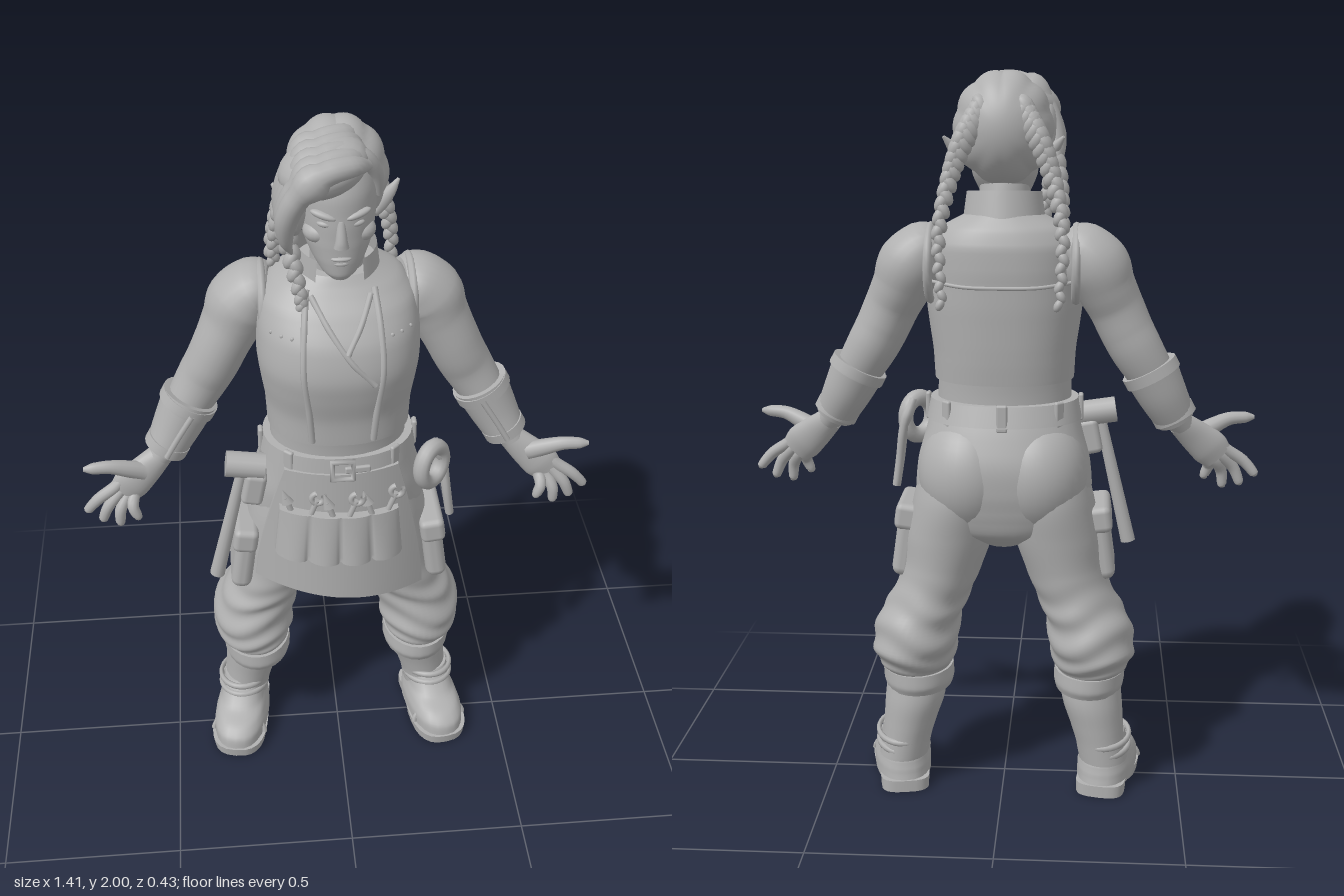
import * as THREE from 'three';
import { RoundedBoxGeometry } from 'three/addons/geometries/RoundedBoxGeometry.js';

const clay = new THREE.MeshStandardMaterial({ color: 0xb0b0b0, side: THREE.DoubleSide });
clay.name = 'grey clay';
const V = (x, y, z) => new THREE.Vector3(x, y, z);

// Skin over cross-sections [x, y, z, radiusAcross, radiusDeep]; flat keeps the rings level (sections go upwards).
function loft(pts, { flat = false, sides = 24, steps = 5, power = 2, ripple = () => 1 } = {}) {
  const path = new THREE.CatmullRomCurve3(pts.map(p => V(p[0], p[1], p[2])));
  const size = new THREE.CatmullRomCurve3(pts.map(p => V(p[3], p[4], 0)));
  const n = (pts.length - 1) * steps, rings = [];
  for (let i = 0; i <= n; i++) {
    const k = i / n, c = path.getPoint(k), r = size.getPoint(k);
    const t = flat ? V(0, 1, 0) : path.getTangent(k);
    const u = V(0, 0, 1).cross(t).normalize();
    rings.push({ c, u, v: t.clone().cross(u), a: r.x, b: r.y, k });
  }
  const first = rings[0], last = rings[n];
  rings.unshift({ ...first, a: 0, b: 0 }, first);
  rings.push(last, { ...last, a: 0, b: 0 });
  const pos = [], idx = [], sp = x => Math.sign(x) * Math.abs(x) ** (2 / power);
  rings.forEach((g, i) => {
    for (let j = 0; j < sides; j++) {
      const w = j / sides * Math.PI * 2, m = ripple(g.k, w);
      const p = g.c.clone().addScaledVector(g.u, sp(Math.cos(w)) * g.a * m).addScaledVector(g.v, sp(Math.sin(w)) * g.b * m);
      pos.push(p.x, p.y, p.z);
      if (i === rings.length - 1 || i === 1 || i === rings.length - 3) continue; // crisp cap edges
      const q = (j + 1) % sides, A = i * sides + j, B = i * sides + q;
      idx.push(A, B, B + sides, A, B + sides, A + sides);
    }
  });
  const geo = new THREE.BufferGeometry();
  geo.setAttribute('position', new THREE.Float32BufferAttribute(pos, 3));
  geo.setIndex(idx);
  geo.computeVertexNormals();
  return geo;
}

// Moves every vertex by a rule.
function warp(geo, rule) {
  const p = geo.attributes.position, v = V(0, 0, 0);
  for (let i = 0; i < p.count; i++) { v.fromBufferAttribute(p, i); rule(v); p.setXYZ(i, v.x, v.y, v.z); }
  geo.computeVertexNormals();
  return geo;
}

// Level body sections written as [y, zBack, zFront, halfWidth].
const body = rows => rows.map(([y, b, f, w]) => [0, y, (b + f) / 2, w, (f - b) / 2]);

export function createModel() {
  const model = new THREE.Group();
  const add = (name, geo, pos = [0, 0, 0], rot = [0, 0, 0], scale = [1, 1, 1], parent = model) => {
    const m = new THREE.Mesh(geo, clay);
    m.name = name;
    m.position.set(...pos); m.rotation.set(...rot); m.scale.set(...scale);
    parent.add(m);
  };
  const ball = (name, pos, scale, rot, detail = 20) => add(name, new THREE.SphereGeometry(1, detail, detail * .7), pos, rot, scale);
  const box = (name, size, pos, rot, r = 0.01) => add(name, new RoundedBoxGeometry(...size, 2, r), pos, rot);
  const tube = (name, pts, r) => add(name, new THREE.TubeGeometry(new THREE.CatmullRomCurve3(pts.map(p => V(...p))), 24, r, 8));
  const flip = (s, rows) => rows.map(([x, ...rest]) => [s * x, ...rest]);

  // Torso
  const vestRows = [[1.185, -.15, .175, .19], [1.26, -.158, .18, .194], [1.33, -.163, .196, .204], [1.4, -.167, .205, .212],
    [1.48, -.17, .188, .21], [1.55, -.168, .142, .2], [1.595, -.152, .1, .165], [1.63, -.125, .075, .1]];
  add('vest', loft(body(vestRows), { flat: true, sides: 48, power: 2.3 }));
  const vestZ = (x, y) => {
    let i = 0;
    while (i < vestRows.length - 2 && vestRows[i + 1][0] < y) i++;
    const [a, b] = [vestRows[i], vestRows[i + 1]], k = (y - a[0]) / (b[0] - a[0]);
    const [, bk, f, w] = a.map((q, j) => q + (b[j] - q) * k);
    return (bk + f) / 2 + (f - bk) / 2 * (1 - Math.min(1, Math.abs(x) / w) ** 2.3) ** (1 / 2.3);
  };
  const onVest = rows => rows.map(([x, y]) => [x, y, vestZ(x, y)]);
  add('waist shirt', loft(body([[1.08, -.135, .145, .185], [1.15, -.135, .15, .183], [1.22, -.14, .16, .182]]), { flat: true, sides: 40 }));
  add('neck', loft([[0, 1.55, -.03, .085, .08], [0, 1.63, -.015, .07, .072], [0, 1.71, 0, .066, .07]], { flat: true }));
  add('collar', new THREE.CylinderGeometry(.1, .112, .09, 32, 3, true, .6, Math.PI * 2 - 1.2), [0, 1.64, -.015], [.1, 0, 0], [1, 1, 1.03]);
  tube('wrap neckline', onVest([[-.075, 1.59], [-.03, 1.52], [.02, 1.45], [.08, 1.38]]), .008);
  tube('wrap neckline', onVest([[.075, 1.59], [.045, 1.53], [.01, 1.47]]), .008);
  tube('back seam', [[-.19, 1.46, -.12], [-.1, 1.45, -.162], [0, 1.448, -.168], [.1, 1.45, -.162], [.19, 1.46, -.12]], .005);

  // Trousers
  add('hips', loft(body([[.72, -.09, .03, .05], [.77, -.165, .08, .18], [.83, -.186, .12, .232], [.89, -.198, .137, .243], [.96, -.2, .148, .237],
    [1.04, -.178, .15, .215], [1.12, -.145, .148, .195]]), { flat: true, sides: 40, power: 2.2 }));
  add('belt', loft(body([[1.075, -.172, .165, .213], [1.13, -.152, .16, .203]]), { flat: true, sides: 40, power: 2.2 }));
  for (let i = 0; i < 7; i++) {
    const a = 0.75 + i * 0.8;
    box('belt loop', [.03, .075, .014], [Math.sin(a) * .21, 1.1, Math.cos(a) * .164], [0, a, 0], .006);
  }
  add('buckle', new THREE.TorusGeometry(.036, .008, 8, 4), [.0, 1.1, .172], [0, 0, Math.PI / 4], [1.1, 1.1, 1]);
  box('buckle tongue', [.07, .02, .012], [.04, 1.1, .168], [0, .1, 0], .005);

  for (const s of [1, -1]) {
    ball('buttock', [s * .093, .925, -.06], [.14, .17, .148], [0, 0, 0], 32);
    // Folds gather below the knee and fade out up the thigh
    const fold = (k, w) => 1 + .035 * Math.max(0, Math.min(1, (.62 - k) * 5, (k - .04) * 12)) * Math.sin(k * 44 - 2.2 * Math.sin(w * 2));
    add('trouser leg', loft(flip(s, [[.245, .34, -.035, .085, .11], [.25, .375, -.04, .108, .13], [.25, .43, -.05, .12, .143],
      [.235, .51, -.05, .116, .132], [.2, .58, -.04, .11, .127], [.17, .66, -.035, .112, .132], [.15, .75, -.035, .122, .142],
      [.133, .85, -.035, .118, .152], [.125, .95, -.03, .1, .14]]), { flat: true, sides: 40, steps: 8, ripple: (k, w) => fold(k, s > 0 ? w : Math.PI - w) }));
    add('trouser cuff', loft(flip(s, [[.243, .295, -.035, .094, .12], [.243, .32, -.035, .1, .13], [.245, .355, -.035, .1, .128]]), { flat: true }));

    // Cargo pocket
    box('cargo pocket', [.06, .18, .18], [s * .272, .715, -.003], [0, 0, s * .14], .025);
    box('pocket flap', [.07, .075, .195], [s * .264, .8, -.003], [0, 0, s * .14], .018);

    // Boots
    add('boot shaft', loft(flip(s, [[.287, .09, -.065, .07, .085], [.278, .14, -.068, .07, .083], [.266, .2, -.067, .076, .086],
      [.252, .27, -.062, .085, .092], [.247, .33, -.055, .085, .09]]), { flat: true }));
    const foot = new THREE.Group();
    foot.name = 'foot';
    foot.position.set(s * .3, 0, 0); foot.rotation.y = s * .18;
    model.add(foot);
    const inFoot = [[0, 0, 0], [0, 0, 0], [1, 1, 1], foot];
    add('sole', loft([[0, 0, .045, .08, .113], [0, .03, .045, .084, .117]], { flat: true, power: 2.6 }), ...inFoot);
    add('heel', loft([[0, 0, -.105, .068, .055], [0, .034, -.1, .07, .06]], { flat: true, power: 3 }), ...inFoot);
    add('boot upper', loft([[0, .026, 0, .081, .157], [0, .06, 0, .081, .15], [0, .085, -.012, .074, .132], [0, .105, -.035, .067, .1],
      [0, .14, -.057, .062, .083], [0, .17, -.064, .058, .07]], { flat: true, power: 2.4 }), ...inFoot);
    add('toe cap seam', new THREE.TorusGeometry(.07, .007, 8, 24, Math.PI), [0, .03, .075], [-.25, 0, 0], [1.13, .8, 1], foot);
    for (let i = 0; i < 2; i++) add('boot strap', new THREE.TorusGeometry(.071, .007, 8, 28), [0, .125 + i * .03, -.058 - i * .004], [1.45, 0, 0], [1, 1.2, 1.4], foot);

    // Arms: deltoid, biceps, elbow, forearm
    add('arm', loft(flip(s, [[.165, 1.55, -.05, .045, .07], [.205, 1.54, -.055, .074, .092], [.245, 1.495, -.06, .09, .1], [.272, 1.44, -.055, .08, .09],
      [.3, 1.385, -.047, .074, .08], [.328, 1.325, -.047, .072, .076], [.355, 1.275, -.05, .07, .07], [.4, 1.2, -.04, .062, .062],
      [.45, 1.11, -.02, .045, .046], [.49, 1.05, 0, .033, .033]])));
    add('bracer', loft(flip(s, [[.392, 1.22, -.04, .076, .078], [.43, 1.145, -.03, .067, .07], [.468, 1.075, -.012, .056, .058]])));
    for (const [x, y, z, r] of [[.398, 1.207, -.039, .079], [.462, 1.088, -.015, .061]])
      add('bracer band', loft(flip(s, [[x - .007, y + .013, z, r, r], [x + .007, y - .013, z, r, r]])));
    tube('bracer seam', flip(s, [[.39, 1.205, .04], [.43, 1.14, .042], [.465, 1.08, .045]]), .008);

    // Hands
    add('palm', loft(flip(s, [[.48, 1.06, -.004, .034, .032], [.525, 1.02, .01, .045, .028], [.565, .985, .02, .052, .026], [.592, .957, .025, .044, .018]])));
    const fingers = [[.612, .978, .697, .9], [.602, .96, .658, .872], [.583, .946, .612, .862], [.562, .95, .562, .885]];
    fingers.forEach(([x, y, X, Y], i) => add('finger', loft(flip(s, [[x - .02, y + .022, .022, .014, .016], [x, y, .028, .017, .017],
      [(x + X) / 2 + .006, (y + Y) / 2 + .006, .036 + i * .006, .016, .016], [X - .004, Y + .008, .035 + i * .008, .013, .013], [X, Y, .035 + i * .008, .005, .005]]), { sides: 12, steps: 4 })));
    add('thumb', loft(flip(s, [[.53, 1.02, .02, .028, .024], [.575, 1.042, .035, .024, .022], [.62, 1.06, .048, .019, .018], [.665, 1.063, .055, .016, .015],
      [.69, 1.064, .058, .006, .006]]), { sides: 12, steps: 4 }));

    // Vest trims
    tube('vest front edge', onVest(flip(s, [[.085, 1.6], [.095, 1.52], [.1, 1.42], [.088, 1.3], [.08, 1.195]])), .009);
    add('armhole trim', new THREE.TorusGeometry(.092, .012, 8, 32), [s * .193, 1.5, -.055], [0, Math.PI / 2, s * .3], [1.08, 1.05, 1]);
    for (let i = 0; i < 3; i++) {
      const x = s * (.125 + i * .025);
      ball('rivet', [x, 1.5, vestZ(x, 1.5)], [.006, .006, .004], [0, 0, 0], 10);
    }
  }

  // Apron with tool pouch
  const curve = x => .172 - 1.6 * x * x;
  add('apron', warp(new THREE.BoxGeometry(2, 1, .014, 24, 12, 1), v => {
    const k = v.y + .5, x = v.x * (.238 - .085 * k ** 1.4);
    v.set(x, .655 + k * .43 - .03 * v.x * (1 - k), v.z + curve(x) - .008 * k);
  }));
  // Four pockets bulge between the stitches and sag at the bottom
  add('tool pouch', warp(new THREE.BoxGeometry(1, 1, .036, 48, 10, 1), v => {
    const bulge = Math.abs(Math.sin(v.x * Math.PI * 4)) ** .5, x = v.x * (.338 - .03 * v.y);
    v.set(x - .008, .882 + v.y * .155 - .05 * x, curve(x) + .006 + v.z + (v.z > 0 ? .017 * bulge * (.8 - v.y) : 0));
  }));
  tube('apron fold', [[-.16, .76, .131], [-.05, .73, .168], [.1, .76, .156]], .005);
  [-.14, -.085, -.03, .02, .075, .13].forEach((x, i) => {
    const tool = new THREE.Group();
    tool.name = 'tool';
    tool.position.set(x, .965, curve(x) + .014); tool.rotation.z = (i % 2 ? -.35 : .3);
    model.add(tool);
    add('tool shank', new THREE.CylinderGeometry(.008, .008, .09, 8), [0, 0, 0], [0, 0, 0], [1, 1, 1], tool);
    if (i % 2) add('spanner head', new THREE.TorusGeometry(.017, .008, 8, 16, 4.9), [0, .052, 0], [0, 0, 2.2], [1, 1, 1], tool);
    else add('tool tip', new THREE.ConeGeometry(.017, .05, 10), [0, .05, 0], [0, 0, 0], [1, 1, .7], tool);
  });

  // Hammer on the right hip, tape roll and strap on the left
  add('hammer handle', new THREE.CylinderGeometry(.015, .021, .37, 14), [-.307, .87, .08], [0, 0, -.23]);
  add('hammer head', new THREE.CylinderGeometry(.036, .036, .105, 16), [-.256, 1.068, .08], [0, 0, Math.PI / 2 - .15]);
  box('hammer holster', [.06, .1, .07], [-.235, 1.0, .08], [0, 0, -.2], .015);
  add('tape roll', new THREE.TorusGeometry(.045, .02, 12, 28), [.25, 1.045, .09], [0, .75, 0], [1, 1.2, 1.2]);
  add('hanging strap', loft([[.262, 1.1, .07, .014, .02], [.285, 1.03, .05, .014, .02], [.3, .93, .06, .013, .018], [.312, .85, .06, .012, .016]], { sides: 12 }));

  // Head and face
  add('head', loft([[0, 1.635, .072, .025, .03], [0, 1.65, .058, .045, .052], [0, 1.685, .034, .068, .08], [0, 1.73, .015, .087, .1], [0, 1.79, .003, .095, .112],
    [0, 1.85, 0, .097, .112], [0, 1.91, -.01, .088, .1], [0, 1.95, -.02, .06, .07]], { flat: true, sides: 32 }));
  add('nose', loft([[0, 1.732, .116, .019, .016], [0, 1.75, .116, .015, .015], [0, 1.8, .106, .01, .01]], { flat: true, sides: 12 }));
  ball('upper lip', [0, 1.698, .108], [.026, .007, .012]);
  ball('lower lip', [0, 1.684, .104], [.022, .008, .012]);
  for (const s of [1, -1]) {
    ball('eye', [s * .04, 1.788, .098], [.019, .008, .01], [0, s * .3, s * .1]);
    ball('brow', [s * .042, 1.812, .099], [.034, .01, .013], [0, s * .35, s * .25]);
    ball('cheek', [s * .05, 1.752, .055], [.04, .03, .042]);
    add('pointed ear', loft(flip(s, [[.085, 1.762, -.01, .018, .026], [.108, 1.78, -.022, .022, .02], [.135, 1.802, -.036, .015, .012], [.157, 1.828, -.05, .004, .004]]), { sides: 14 }));
  }

  // Hair swept back in ridges
  add('hair', warp(new THREE.SphereGeometry(1, 80, 40), v => {
    const m = 1 + .05 * Math.abs(Math.sin(Math.atan2(v.x, v.y) * 5)) * (1 - v.z ** 4);
    v.set(v.x * .126 * m, 1.852 + v.y * .14 * m, -.05 + v.z * .125);
  }));

  // Full fringe swept over the right side of the face
  ball('fringe volume', [-.038, 1.918, .055], [.112, .065, .115], [0, 0, .3]);
  ball('temple hair', [-.112, 1.83, .03], [.035, .1, .085]);
  for (let i = 0; i < 5; i++) {
    const d = i * .036, g = i * .004;
    add('fringe lock', loft([[.06, 1.935, .085 - d, .012, .02], [.02, 1.952 + g, .135 - d, .024, .03], [-.045, 1.945 + g, .162 - d, .03, .032],
      [-.1, 1.897 + g, .16 - d, .03, .032], [-.132, 1.825, .14 - d, .028, .03], [-.134, 1.76, .118 - d, .018, .024], [-.12, 1.715, .1 - d, .004, .006]], { sides: 16 }));
  }
  add('hairline lock', loft([[0, 1.96, .08, .02, .025], [.055, 1.942, .065, .022, .025], [.088, 1.895, .045, .018, .022], [.1, 1.83, .025, .01, .014]], { sides: 14 }));

  // Braids of closely overlapping strands
  const braid = (name, pts, n, r0, r1) => {
    const c = new THREE.CatmullRomCurve3(pts.map(p => V(...p)));
    for (let i = 0; i < n; i++) {
      const k = i / (n - 1), p = c.getPoint(k), r = r0 + (r1 - r0) * k, s = i % 2 ? 1 : -1;
      ball(name, [p.x + s * r * .22, p.y, p.z], [r * .85, r * 1.35, r * .9], [0, 0, s * .45], 12);
    }
  };
  for (const s of [1, -1])
    braid('back braid', flip(s, [[.055, 1.9, -.13], [.095, 1.835, -.15], [.13, 1.74, -.155], [.158, 1.6, -.18], [.152, 1.41, -.2]]), 34, .03, .013);
  braid('front braid', [[-.13, 1.76, .06], [-.115, 1.68, .09], [-.1, 1.6, .105], [-.095, 1.55, .11]], 15, .024, .012);
  braid('side braid', [[-.13, 1.8, -.02], [-.15, 1.7, -.04], [-.16, 1.61, -.06]], 13, .025, .014);
  return model;
}
